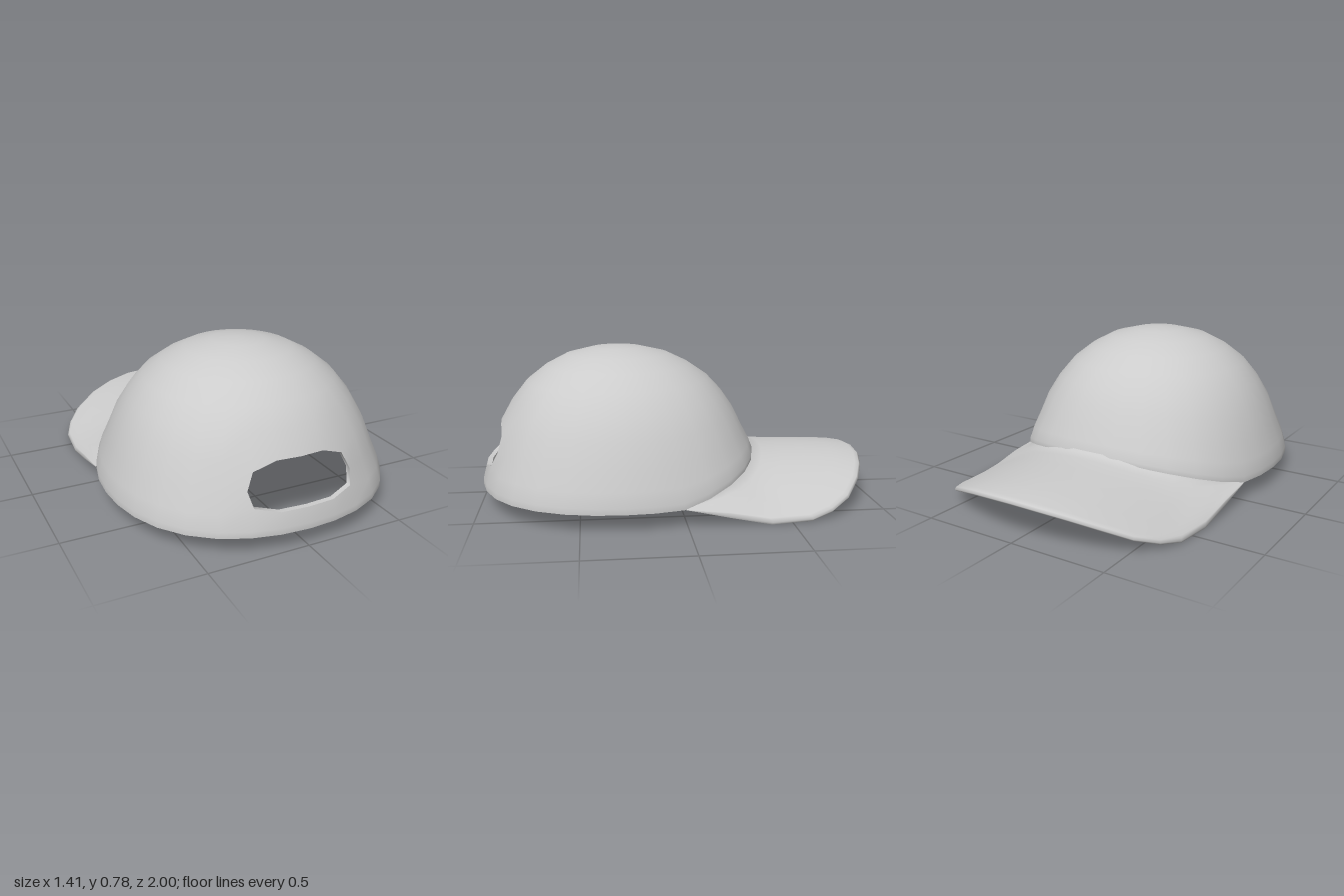
import * as THREE from 'three';
import { mergeVertices } from 'three/addons/utils/BufferGeometryUtils.js';

const material = new THREE.MeshStandardMaterial({ color: 0xcccccc });
const SEG = 32, CZ = 0.295;

// Grid surface: fn(row, col) -> Vector3, facing (col direction) x (row direction)
function grid(rows, cols, fn, { flip = false, skip = () => false } = {}) {
  const pos = [], idx = [];
  for (let i = 0; i <= rows; i++)
    for (let j = 0; j <= cols; j++) pos.push(...fn(i, j).toArray());
  for (let i = 0; i < rows; i++)
    for (let j = 0; j < cols; j++) {
      if (skip(i, j)) continue;
      const a = i * (cols + 1) + j, b = a + 1, d = a + cols + 1, c = d + 1;
      if (flip) idx.push(a, c, b, a, d, c);
      else idx.push(a, b, c, a, c, d);
    }
  let g = new THREE.BufferGeometry();
  g.setAttribute('position', new THREE.Float32BufferAttribute(pos, 3));
  g.setIndex(idx);
  g = mergeVertices(g, 1e-4);
  g.computeVertexNormals();
  return g;
}

function addMesh(parent, name, geometry) {
  const m = new THREE.Mesh(geometry, material);
  m.name = name;
  parent.add(m);
}

// The plan is a slightly squared circle
const bulge = (a) => 0.04 * Math.sin(2 * a) ** 2;

// Crown profile rows: height, outer radius, inner radius.
// Inside, the lowest row is a lip that reaches inwards.
const profile = [
  [0.09, 0.707, 0.605], [0.12, 0.707, 0.672], [0.19, 0.688, 0.662], [0.285, 0.651, 0.625],
  [0.40, 0.609, 0.583], [0.51, 0.547, 0.52], [0.605, 0.472, 0.444], [0.68, 0.376, 0.348],
  [0.738, 0.265, 0.243], [0.772, 0.13, 0.12], [0.782, 0, 0],
];
const ROWS = profile.length - 1;

function crownPoint(i, j, inner) {
  // the walls of the back opening run straight through
  if (inner && i >= 2 && i <= 4 && j >= 14 && j <= 18) {
    const p = crownPoint(i, j, false);
    p.z -= 0.026;
    return p;
  }
  let [y, ro, ri] = profile[i];
  let r = inner ? ri : ro;
  let a = (j / SEG - 0.5) * Math.PI * 2;
  // cut the corners of the back opening
  if (j === 14 || j === 18) {
    if (i === 2) { y += 0.025; r -= 0.01; a *= 21.2 / 22.5; }
    if (i === 3) a *= 23.6 / 22.5;
    if (i === 4) { y -= 0.038; r += 0.014; a *= 21.3 / 22.5; }
  }
  const f = (y - 0.09) / 0.692;
  if (!inner || i > 0) r *= 1 + bulge(a) * (1 - f);
  // the lower edge rises over the brim
  const c = Math.max(0, -Math.cos(a));
  const s = Math.max(0, (c * c - 0.15) / 0.85);
  const lift = 0.138 * (1 - Math.pow(1 - s, 1.3));
  y += lift * Math.pow(Math.max(0, 1 - f), 1.6);
  if (inner) y -= 0.026 * f;
  return new THREE.Vector3(r * Math.sin(a), y, CZ + r * Math.cos(a));
}

function makeCrown() {
  const crown = new THREE.Group();
  crown.name = 'crown';
  const skip = (i, j) => (i === 2 || i === 3) && j >= 14 && j < 18;
  addMesh(crown, 'outerShell', grid(ROWS, SEG, (i, j) => crownPoint(i, j, false), { skip }));
  addMesh(crown, 'innerLining', grid(ROWS, SEG, (i, j) => crownPoint(i, j, true), { skip, flip: true }));
  addMesh(crown, 'bottomRim', grid(1, SEG, (i, j) => crownPoint(0, j, i === 0)));
  // walls of the back opening, counterclockwise round its border
  const loop = [];
  for (let j = 14; j <= 18; j++) loop.push([2, j]);
  loop.push([3, 18]);
  for (let j = 18; j >= 14; j--) loop.push([4, j]);
  loop.push([3, 14], [2, 14]);
  addMesh(crown, 'backOpeningEdge',
    grid(1, loop.length - 1, (i, k) => crownPoint(...loop[k], i === 1)));
  return crown;
}

// Brim underside height: an arch that deepens away from the crown
function brimHeight(x, z) {
  const ridge = 0.208 - 0.03 * Math.max(0, -z - 0.4) - 0.1 * Math.max(0, -z - 0.9);
  const bend = 0.482 * (0.55 + 0.45 * THREE.MathUtils.clamp(-z / 0.4, 0, 1));
  return ridge - bend * x * x;
}

function makeBrim() {
  const half = [
    [0.668, 0.01], [0.668, -0.2], [0.662, -0.4], [0.645, -0.6], [0.6, -0.71],
    [0.525, -0.81], [0.395, -0.9], [0.265, -0.955], [0.13, -0.99],
  ];
  const outline = [
    ...half.map(([x, z]) => [-x, z]), [0, -1], ...half.slice().reverse(),
  ];
  const cols = outline.length - 1;
  // section from the crown over the top, round the edge and back:
  // distance, height; it starts with a small fillet against the crown
  const T = 0.03;
  const section = [
    [0, T * 2.2], [0.04, T * 1.4], [0.12, T * 1.08], [0.3, T], [0.5, T], [0.75, T],
    [0.95, T], [0.985, T * 0.85], [1, T * 0.5],
    [0.985, T * 0.12], [0.95, 0], [0.75, 0], [0.5, 0], [0.25, 0], [0, 0],
  ];
  const point = ([t, h], j) => {
    const a = (j / cols * 2 - 1) * 1.15, r = 0.687 * (1 + bulge(a));
    const p = new THREE.Vector3(r * Math.sin(a), 0, CZ - r * Math.cos(a));
    const [x, z] = outline[j];
    p.lerp(new THREE.Vector3(x, 0, z), t);
    // the brim thins out to nothing where it meets the sides of the crown
    const thin = THREE.MathUtils.clamp((0.02 - p.z) / 0.25, 0, 1);
    p.y = brimHeight(p.x, p.z) + h * thin;
    return p;
  };
  const brim = new THREE.Group();
  brim.name = 'brim';
  addMesh(brim, 'brimPanel', grid(section.length - 1, cols, (i, j) => point(section[i], j)));
  addMesh(brim, 'brimInnerEdge', grid(1, cols, (i, j) => point(section[i ? 0 : section.length - 1], j)));
  return brim;
}

export function createModel() {
  const cap = new THREE.Group();
  cap.name = 'cap';
  cap.add(makeCrown(), makeBrim());
  return cap;
}
